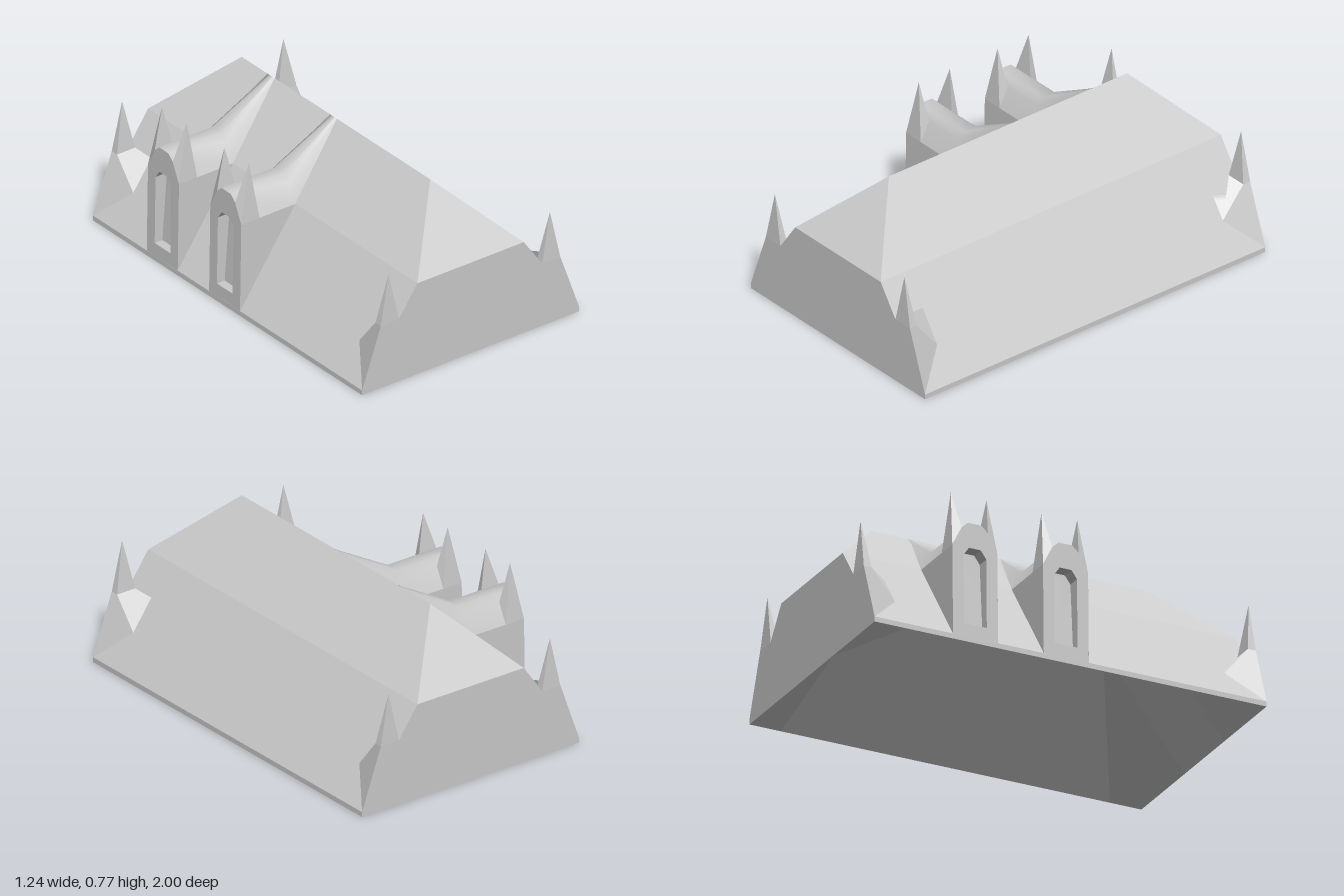
import * as THREE from 'three';

const grey = new THREE.MeshStandardMaterial({ color: 0xcccccc, side: THREE.DoubleSide });

// Mesh from polygons, each a loop of [x, y, z] corners with one flat normal
function polyMesh(name, polys, flip = false) {
  const pos = [], nor = [];
  for (const loop of polys) {
    const p = loop.map(c => new THREE.Vector3(...c));
    if (flip) p.reverse();
    const normal = new THREE.Vector3();
    for (let i = 1; i < p.length - 1; i++) {
      const a = p[i].clone().sub(p[0]), b = p[i + 1].clone().sub(p[0]);
      normal.add(a.cross(b));
      for (const v of [p[0], p[i], p[i + 1]]) pos.push(v.x, v.y, v.z);
    }
    normal.normalize();
    for (let i = 0; i < (p.length - 2) * 3; i++) nor.push(normal.x, normal.y, normal.z);
  }
  const g = new THREE.BufferGeometry();
  g.setAttribute('position', new THREE.Float32BufferAttribute(pos, 3));
  g.setAttribute('normal', new THREE.Float32BufferAttribute(nor, 3));
  const m = new THREE.Mesh(g, grey);
  m.name = name;
  return m;
}

// Roof profile: eave, shoulder, ridge
const W = 0.622, EAVE = 0.025, SX = 0.305, SY = 0.475, RIDGE = 0.775, RZ = 0.7;
const roofX = y => W - (y - EAVE) * (W - SX) / (SY - EAVE);
const faceX = y => -W + 0.015 * y;

// Outer roof shell
function roofShell() {
  const polys = [];
  for (const s of [1, -1]) {
    // Band of the slope between two levels, with its half lengths
    const band = (x0, y0, z0, x1, y1, z1) =>
      [[s * x0, y0, s * z0], [s * x0, y0, -s * z0], [s * x1, y1, -s * z1], [s * x1, y1, s * z1]];
    polys.push(
      band(W, 0, 1, W, EAVE, 1),
      band(W, EAVE, 1, SX, SY, 1),
      band(SX, SY, 1, 0, RIDGE, RZ),
      [[-s * W, 0, s], [s * W, 0, s], [s * W, EAVE, s], [s * SX, SY, s], [-s * SX, SY, s], [-s * W, EAVE, s]],
      [[-s * SX, SY, s], [s * SX, SY, s], [0, RIDGE, s * RZ]],
    );
  }
  return polyMesh('roofShell', polys);
}

// Hollow underside: flat ceiling with sloping sides, ends and corners
function ceiling() {
  const x = 0.2, y = 0.547, z = 0.585, c = 0.84;
  const polys = [[[-x, y, -z], [x, y, -z], [x, y, z], [-x, y, z]]];
  for (const s of [1, -1]) {
    polys.push(
      [[s * W, 0, -s * c], [s * W, 0, s * c], [s * x, y, s * z], [s * x, y, -s * z]],
      [[s * x, 0, s], [-s * x, 0, s], [-s * x, y, s * z], [s * x, y, s * z]],
      [[s * x, y, s * z], [s * W, 0, s * c], [s * W, 0, s], [s * x, 0, s]],
      [[-s * x, y, s * z], [-s * x, 0, s], [-s * W, 0, s], [-s * W, 0, s * c]],
    );
  }
  return polyMesh('ceiling', polys, true);
}

// Corner buttress with a pinnacle
function corner(sx, sz) {
  const y = 0.325, low = 0.178, zi = 0.96, zb = 0.84;
  const a = roofX(y), b = roofX(low);
  const foot = [W, EAVE, 1], apex = [(a + b) / 2, 0.573, 0.99];
  const base = [[a, y, 1], [b, y, 1], [b, y, zi], [a, y, zi]];
  const polys = [
    [foot, base[1], base[0]],
    [foot, [b, low, zb], base[2], base[1]],
    [base[2], [b, low, zb], [a, y, zb], base[3]],
    ...base.map((p, i) => [p, base[(i + 1) % 4], apex]),
  ];
  const world = polys.map(p => p.map(([px, py, pz]) => [px * sx, py, pz * sz]));
  return polyMesh('cornerPinnacle', world, sx * sz < 0);
}

// Half of the chamfered vault section: [half width, height above the spring]
const HALF = [[0.115, 0], [0.067, 0.095], [0.035, 0.125]];
const SECTION = [...HALF, ...HALF.map(([z, y]) => [-z, y]).reverse()];

// Stand a flat (z, y) shape up so that it faces -x, placed by a depth rule
function standing(name, shape, depth) {
  const g = new THREE.ShapeGeometry(shape);
  const p = g.attributes.position;
  for (let i = 0; i < p.count; i++) p.setXYZ(i, depth(p.getY(i)), p.getY(i), p.getX(i));
  g.computeVertexNormals();
  const m = new THREE.Mesh(g, grey);
  m.name = name;
  return m;
}

function dormer(z) {
  const g = new THREE.Group();
  g.name = 'dormer';
  const hw = HALF[0][0], v2 = (x, y) => new THREE.Vector2(x, y);

  // Front wall pierced by a chamfered window
  const hole = [[-0.058, 0.09], [0.058, 0.09], [0.058, 0.435], [0.03, 0.475], [-0.03, 0.475], [-0.058, 0.435]]
    .map(p => v2(...p));
  const wall = new THREE.Shape([v2(-hw, EAVE), v2(hw, EAVE), ...SECTION.map(([w, h]) => v2(w, SY + h))]);
  wall.holes.push(new THREE.Path(hole));
  g.add(standing('dormerWall', wall, faceX));

  // Window recess, stopping at the roof slope
  const backX = y => Math.min(-0.55, -roofX(y));
  g.add(standing('windowPane', new THREE.Shape(hole), backX));
  g.add(polyMesh('windowReveal', hole.map((p, i) => {
    const q = hole[(i + 1) % hole.length];
    return [[faceX(p.y), p.y, p.x], [faceX(q.y), q.y, q.x], [backX(q.y), q.y, q.x], [backX(p.y), p.y, p.x]];
  })));

  for (const s of [1, -1]) {
    // Side cheek
    g.add(polyMesh('dormerCheek',
      [[[-W, EAVE, s * hw], [-SX, SY, s * hw], [faceX(SY), SY, s * hw]]], s < 0));

    // Pinnacle standing on the chamfer of the vault
    const [zo, zi] = [s * hw, s * HALF[1][0]], yi = SY + HALF[1][1], xi = -0.51;
    const base = [[faceX(SY), SY, zo], [xi, SY, zo], [xi, yi, zi], [faceX(yi), yi, zi]];
    const apex = [-0.553, 0.765, (zo + zi) / 2];
    g.add(polyMesh('dormerPinnacle', base.map((p, i) => [p, base[(i + 1) % 4], apex]), s < 0));
  }

  // Vault tapering up to the ridge: [x, spring height, width scale, rise scale]
  const stations = [[faceX(0.6), SY, 1, 1], [-SX, SY, 1, 1], [0, RIDGE, 0.25, 0]];
  const n = SECTION.length, pos = [], idx = [];
  for (const [x, y, kw, kh] of stations) {
    for (const [w, h] of SECTION) pos.push(x, y + h * kh, w * kw);
  }
  for (let r = 0; r < stations.length - 1; r++) {
    for (let i = 0; i < n - 1; i++) {
      const a = r * n + i, b = a + n;
      idx.push(a, b, a + 1, b, b + 1, a + 1);
    }
  }
  const vg = new THREE.BufferGeometry();
  vg.setAttribute('position', new THREE.Float32BufferAttribute(pos, 3));
  vg.setIndex(idx);
  vg.computeVertexNormals();
  const vault = new THREE.Mesh(vg, grey);
  vault.name = 'dormerVault';
  g.add(vault);

  g.position.z = z;
  return g;
}

export function createModel() {
  const model = new THREE.Group();
  model.name = 'roof';
  model.add(roofShell(), ceiling());
  for (const sx of [1, -1]) for (const sz of [1, -1]) model.add(corner(sx, sz));
  for (const z of [-0.485, -0.022]) model.add(dormer(z));
  return model;
}
